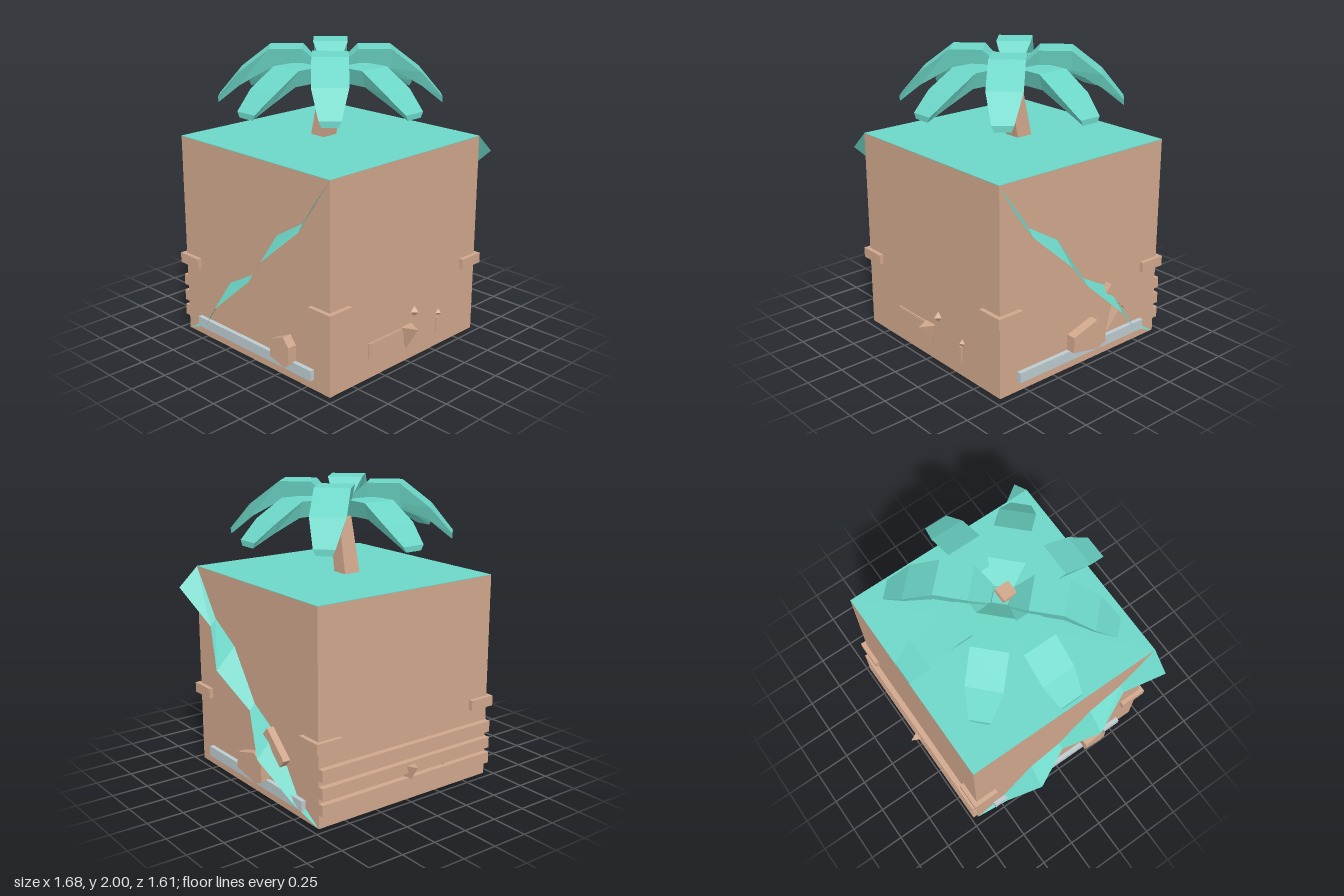
import * as THREE from 'three';

const mat = (name, color) => {
  const m = new THREE.MeshStandardMaterial({ color, side: THREE.DoubleSide });
  m.name = name;
  m.flatShading = true;
  return m;
};

export function createModel() {
  const group = new THREE.Group();
  const sand = mat('sand', 0xd0a78c);
  const teal = mat('teal', 0x6cd6c7);
  const steel = mat('pale steel', 0xbccacf);

  const add = (name, geo, material, x = 0, y = 0, z = 0) => {
    const mesh = new THREE.Mesh(geo, material);
    mesh.name = name;
    mesh.position.set(x, y, z);
    group.add(mesh);
    return mesh;
  };
  const box = (name, m, w, h, d, x, y, z) => add(name, new THREE.BoxGeometry(w, h, d), m, x, y, z);
  const fromTriangles = (pts) => {
    const geo = new THREE.BufferGeometry();
    geo.setAttribute('position', new THREE.Float32BufferAttribute(pts.flat(), 3));
    geo.computeVertexNormals();
    return geo;
  };

  // Earth block with its green top
  box('block', sand, 1.4, 1.4, 1.4, 0, 0.7, 0);
  box('grassTop', teal, 1.4, 0.004, 1.4, 0, 1.4, 0);

  // Leaning trunk, cut square
  const trunkGeo = new THREE.CylinderGeometry(0.066, 0.085, 0.52, 4).rotateY(Math.PI / 4);
  const tp = trunkGeo.attributes.position;
  for (let i = 0; i < tp.count; i++) tp.setZ(i, tp.getZ(i) + tp.getY(i) * 0.19);
  trunkGeo.computeVertexNormals();
  add('trunk', trunkGeo, sand, 0, 1.65, -0.015);

  // Fronds: rings of [distance, top y, bottom y, half width]
  const frondGeometry = (rings) => {
    const r = rings.map(([d, t, b, w]) => [[-w, t, d], [w, t, d], [w * 0.75, b, d], [-w * 0.75, b, d]]);
    const pts = [];
    const quad = (a, b, c, d) => pts.push(...a, ...b, ...c, ...a, ...c, ...d);
    for (let i = 0; i < r.length - 1; i++) {
      for (let k = 0; k < 4; k++) {
        const n = (k + 1) % 4;
        quad(r[i][k], r[i + 1][k], r[i + 1][n], r[i][n]);
      }
    }
    const e = r[r.length - 1];
    quad(e[3], e[2], e[1], e[0]);
    quad(...r[0]);
    return fromTriangles(pts);
  };
  const lowFrond = frondGeometry([
    [0.05, 1.82, 1.78, 0.06], [0.19, 1.905, 1.80, 0.115], [0.39, 1.905, 1.80, 0.115],
    [0.585, 1.79, 1.72, 0.115], [0.725, 1.675, 1.64, 0.08]]);
  const highFrond = frondGeometry([
    [0.055, 1.88, 1.80, 0.06], [0.18, 2.0, 1.87, 0.115], [0.39, 2.0, 1.87, 0.115],
    [0.585, 1.85, 1.76, 0.115], [0.73, 1.68, 1.64, 0.068]]);
  for (let i = 0; i < 8; i++) {
    add('frond', i % 2 ? highFrond : lowFrond, teal).rotation.y = i * Math.PI / 4;
  }
  box('crownHeart', teal, 0.1, 0.1, 0.1, 0, 1.83, 0).rotation.y = Math.PI / 4;

  // Zigzag leaf edge running down both flanks: [x out, y out, y at wall, z]
  const zigzag = [
    [0.84, 1.27, 1.4, 0.7], [0.74, 1.03, 1.08, 0.47], [0.84, 0.8, 0.94, 0.235],
    [0.74, 0.57, 0.61, 0], [0.84, 0.335, 0.48, -0.235], [0.74, 0.1, 0.14, -0.47],
    [0.7, 0, 0, -0.7]];
  for (const s of [1, -1]) {
    const pts = [];
    for (let i = 0; i < zigzag.length - 1; i++) {
      const [x0, o0, w0, z0] = zigzag[i];
      const [x1, o1, w1, z1] = zigzag[i + 1];
      const a = [s * 0.7, w0, z0], b = [s * x0, o0, z0];
      const c = [s * x1, o1, z1], d = [s * 0.7, w1, z1];
      if (s > 0) pts.push(a, b, c, a, c, d);
      else pts.push(a, c, b, a, d, c);
    }
    add('leafEdge', fromTriangles(pts), teal);
    box('sideRail', steel, 0.06, 0.07, 1.12, s * 0.7, 0.105, 0);
    // Corner brackets
    for (const t of [1, -1]) box('cornerBracket', sand, 0.19, 0.07, 0.19, s * 0.635, 0.532, t * 0.635);
  }

  // Back planks
  for (const y of [0.13, 0.24, 0.357]) box('backPlank', sand, 1.4, 0.077, 0.06, 0, y, -0.71);

  // Stone spikes hanging on front and back
  for (const s of [1, -1]) {
    const spike = add('spike', new THREE.ConeGeometry(0.1, 0.165, 4), sand, 0, 0.172, s * 0.705);
    spike.rotation.x = Math.PI;
    spike.scale.x = 0.5;
  }

  // Small finds on the front
  box('frontSlab', sand, 0.33, 0.11, 0.02, -0.195, 0.193, 0.7);
  box('frontSlabFace', sand, 0.29, 0.08, 0.026, -0.195, 0.2, 0.7);
  add('pebble', new THREE.OctahedronGeometry(0.036), sand, 0.08, 0.33, 0.7);

  // Little pin with a pointed head, on front and back
  for (const s of [1, -1]) {
    box('pin', sand, 0.025, 0.11, 0.02, s * 0.315, 0.155, s * 0.7);
    add('pinHead', new THREE.OctahedronGeometry(0.025), sand, s * 0.33, 0.24, s * 0.7);
  }

  // Pointed rocks on the flanks, outline in (z, y)
  const outline = [[0.13, 0.25], [-0.08, 0.31], [-0.16, 0.25], [-0.16, 0.13], [-0.09, 0.1], [0.13, 0.14]];
  const rockGeo = new THREE.ExtrudeGeometry(
    new THREE.Shape(outline.map(([z, y]) => new THREE.Vector2(-z, y))), { depth: 0.07, bevelEnabled: false });
  rockGeo.rotateY(Math.PI / 2);
  add('rightRock', rockGeo, sand, 0.695, 0, 0);
  const leftRock = add('leftRock', rockGeo, sand, -0.695, 0, 0.3);
  leftRock.rotation.y = Math.PI;
  leftRock.scale.z = 0.6;

  // Tilted stone tool on the right flank
  box('toolHead', sand, 0.1, 0.07, 0.25, 0.7, 0.41, -0.285).rotation.x = -0.74;
  const handle = add('toolHandle', new THREE.ConeGeometry(0.05, 0.24, 4), sand, 0.7, 0.24, -0.275);
  handle.rotation.x = Math.PI - 0.45;

  return group;
}
